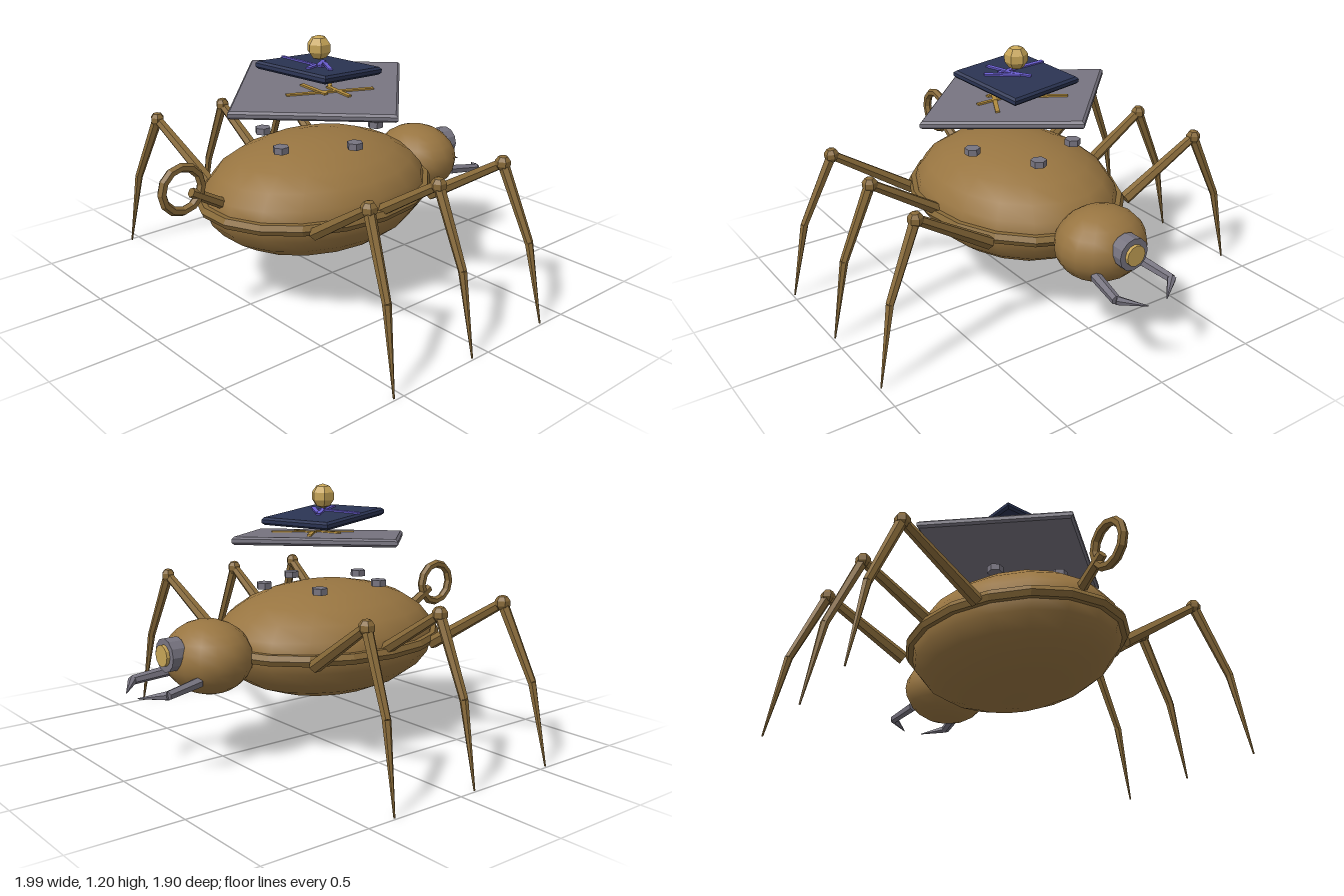
import * as THREE from 'three';

const mat = (name, color) => {
  const m = new THREE.MeshStandardMaterial({ color });
  m.name = name;
  return m;
};

// Faceted copy of a geometry
const flat = (geo) => {
  const g = geo.index ? geo.toNonIndexed() : geo;
  g.computeVertexNormals();
  return g;
};

const V = (x, y, z) => new THREE.Vector3(x, y, z);

export function createModel() {
  const bronze = mat('bronze', 0x987541);
  const darkBronze = mat('dark bronze', 0x886a39);
  const steel = mat('steel grey', 0x777480);
  const navy = mat('navy', 0x2b3453);
  const violet = mat('violet', 0x6a5ed2);
  const brass = mat('brass', 0xc6a457);
  const gold = mat('gold', 0xb08a3c);

  const model = new THREE.Group();
  model.name = 'mechanicalBeetle';

  const add = (parent, name, geo, material, x = 0, y = 0, z = 0) => {
    const mesh = new THREE.Mesh(geo, material);
    mesh.name = name;
    mesh.position.set(x, y, z);
    parent.add(mesh);
    return mesh;
  };

  // Tapered rod from a to b
  const rod = (parent, name, a, b, r0, r1, material, sides = 6) => {
    const dir = b.clone().sub(a);
    const geo = flat(new THREE.CylinderGeometry(r1, r0, dir.length(), sides));
    const mesh = add(parent, name, geo, material);
    mesh.position.copy(a).add(b).multiplyScalar(0.5);
    mesh.quaternion.setFromUnitVectors(V(0, 1, 0), dir.normalize());
    return mesh;
  };

  // Shell, rim and head
  const shell = new THREE.SphereGeometry(1, 18, 12).scale(0.45, 0.268, 0.57);
  add(model, 'shell', shell, bronze, 0, 0.48, 0.1);
  const rim = flat(new THREE.TorusGeometry(0.572, 0.028, 6, 18)
    .rotateX(Math.PI / 2).scale(0.8, 1, 1));
  add(model, 'shellRim', rim, darkBronze, 0, 0.48, 0.1);
  const head = new THREE.SphereGeometry(1, 16, 12).scale(0.213, 0.166, 0.192);
  add(model, 'head', head, bronze, 0, 0.48, -0.565);

  // Single eye
  const disc = (r, h, n) => flat(new THREE.CylinderGeometry(r, r, h, n).rotateX(Math.PI / 2));
  add(model, 'eyeHousing', disc(0.075, 0.065, 12), steel, 0, 0.517, -0.753);
  add(model, 'eyeLens', disc(0.048, 0.03, 12), brass, 0, 0.517, -0.786);

  // Mandibles and legs, mirrored left and right
  for (const s of [1, -1]) {
    const jaw = new THREE.Group();
    jaw.name = s > 0 ? 'leftMandible' : 'rightMandible';
    model.add(jaw);
    const bend = V(s * 0.152, 0.388, -0.86);
    rod(jaw, 'mandibleBase', V(s * 0.125, 0.41, -0.69), bend, 0.025, 0.021, steel);
    rod(jaw, 'mandibleTip', bend, V(s * 0.05, 0.367, -0.945), 0.021, 0.002, steel);

    for (const [name, hipZ, kneeZ, shinZ, footZ] of [
      ['rearLeg', 0.43, 0.48, 0.52, 0.545],
      ['middleLeg', 0.09, 0.09, 0.09, 0.09],
      ['frontLeg', -0.27, -0.315, -0.34, -0.36],
    ]) {
      const leg = new THREE.Group();
      leg.name = (s > 0 ? 'left ' : 'right ') + name;
      model.add(leg);
      const hip = V(s * 0.385, 0.465, hipZ);
      const knee = V(s * 0.765, 0.71, kneeZ);
      const shin = V(s * 0.915, 0.375, shinZ);
      rod(leg, 'thigh', hip, knee, 0.031, 0.023, darkBronze);
      const joint = flat(new THREE.SphereGeometry(0.036, 6, 5).rotateY(Math.PI / 6));
      add(leg, 'knee', joint, darkBronze, knee.x, knee.y, knee.z);
      rod(leg, 'upperShin', knee, shin, 0.025, 0.019, darkBronze);
      rod(leg, 'lowerShin', shin, V(s * 0.99, 0.002, footZ), 0.019, 0.004, darkBronze);
    }
  }

  // Tail stem and ring
  rod(model, 'tailStem', V(0, 0.525, 0.61), V(0, 0.63, 0.79), 0.026, 0.022, darkBronze);
  const ring = flat(new THREE.TorusGeometry(0.098, 0.021, 6, 12).rotateY(Math.PI / 2));
  add(model, 'tailRing', ring, darkBronze, 0, 0.655, 0.835);

  // Five studs in an oval on the back
  for (let i = 0; i < 5; i++) {
    const t = (i / 5) * Math.PI * 2;
    const stud = flat(new THREE.CylinderGeometry(0.037, 0.037, 0.03, 6));
    add(model, 'stud', stud, steel, 0.245 * Math.cos(t), 0.745, 0.08 + 0.3 * Math.sin(t));
  }

  // Floating bevelled plates, each tilted to a normal and carrying marks [x0, z0, x1, z1]
  const plate = (name, size, y, yaw, normal, material, markMaterial, marks) => {
    const group = new THREE.Group();
    group.name = name;
    group.position.set(0, y, 0.08);
    group.quaternion.setFromUnitVectors(V(0, 1, 0), normal.normalize());
    model.add(group);
    const b = 0.01, thick = 0.036, h = size / 2 - b;
    const square = new THREE.Shape([[-h, -h], [h, -h], [h, h], [-h, h]]
      .map(([px, py]) => new THREE.Vector2(px, py)));
    const geo = new THREE.ExtrudeGeometry(square, {
      depth: thick - 2 * b, bevelEnabled: true, bevelSize: b, bevelThickness: b, bevelSegments: 1,
    });
    geo.translate(0, 0, b - thick / 2).rotateX(-Math.PI / 2);
    add(group, name + 'Slab', geo, material).rotation.y = yaw;
    marks.forEach(([x0, z0, x1, z1], i) => {
      const length = Math.hypot(x1 - x0, z1 - z0);
      const mark = add(group, name + 'Mark', new THREE.BoxGeometry(length, 0.008, 0.02), markMaterial,
        (x0 + x1) / 2, thick / 2 + 0.003 + i * 0.0004, (z0 + z1) / 2);
      mark.rotation.y = -Math.atan2(z1 - z0, x1 - x0);
    });
  };

  plate('largePlate', 0.727, 0.953, Math.PI / 4, V(0.05, 1, 0.05), steel, gold, [
    [0.01, 0.2, 0.2, -0.15],
    [-0.15, -0.2, 0.05, -0.02],
    [0.05, -0.01, 0.21, 0.0],
    [-0.05, 0.06, 0.12, 0.06],
  ]);
  plate('smallPlate', 0.407, 1.052, Math.PI / 18, V(0, 1, -0.095), navy, violet, [
    [-0.19, 0.06, 0.07, 0.04],
    [-0.04, -0.06, 0.05, 0.05],
    [0.0, -0.03, 0.14, 0.055],
    [0.03, 0.04, 0.075, 0.13],
  ]);

  // Hovering orb
  const orb = flat(new THREE.SphereGeometry(0.057, 6, 5).rotateY(Math.PI / 6));
  add(model, 'orb', orb, brass, 0, 1.147, 0.08);

  return model;
}
